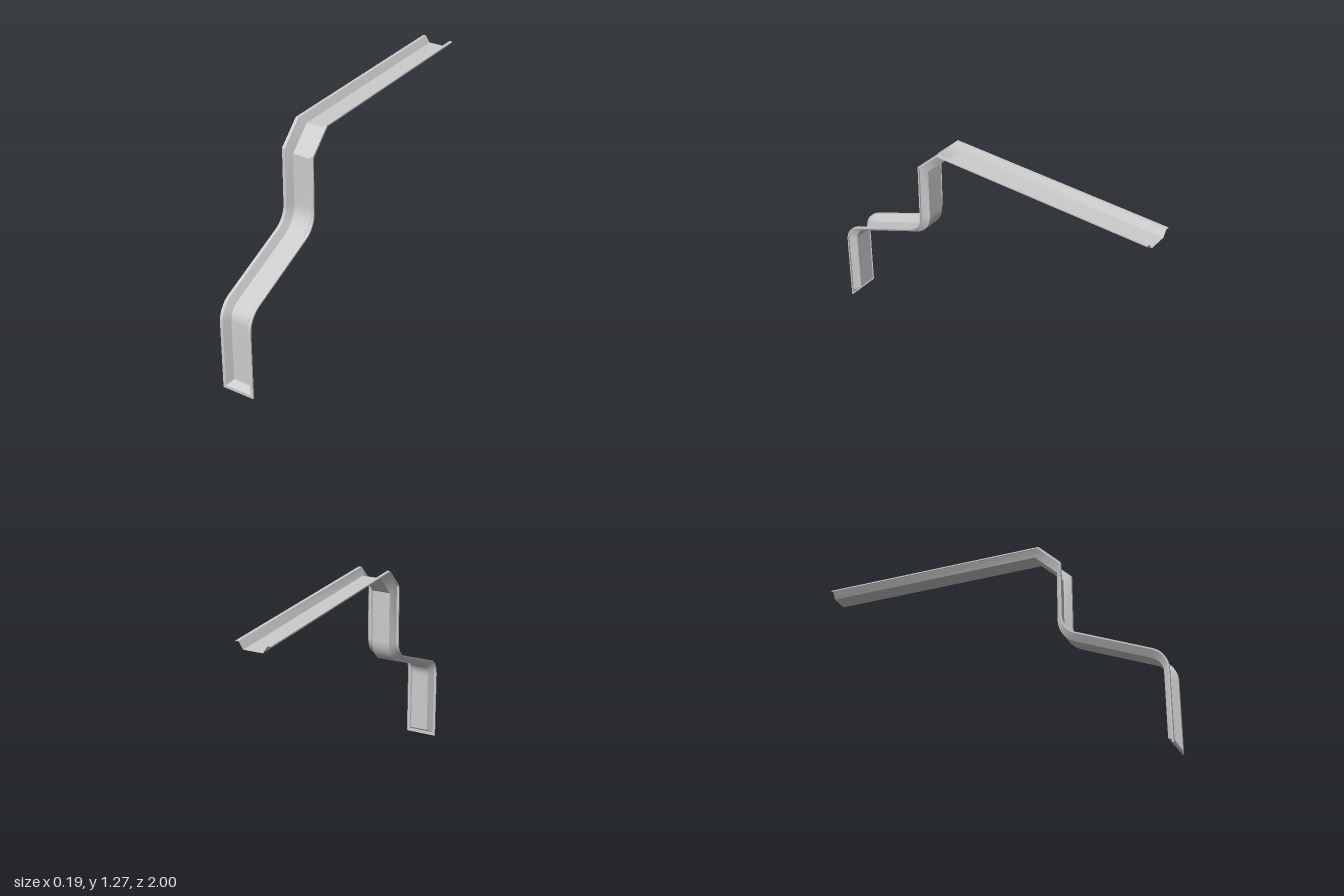
import * as THREE from 'three';
import { toCreasedNormals } from 'three/addons/utils/BufferGeometryUtils.js';

const RIM = 0.095, MOUTH = 0.078, FLOOR = 0.053; // half widths
const DEPTH = 0.039, LIP = 0.008;

// Channel cross-section as [x, depth below the rim], from -x to +x
const half = [[RIM, LIP], [RIM, 0], [MOUTH, 0], [FLOOR, DEPTH]];
const section = [...half.map(([x, d]) => [-x, d]), ...half.slice().reverse()];

// Stations along the run: z, y of the rim, direction of depth (dz, dy),
// and limits that close the section at the lower end
function stations() {
  const rows = [];
  const add = (z, y, dz, dy, extra = {}) => rows.push({ z, y, dz, dy, minX: 0, maxD: 1, ...extra });

  // closed lower end: lip, rim, top of end wall, floor edge
  add(1, 0, -1, 0, { minX: RIM, fixD: LIP });
  add(1, 0, -1, 0, { minX: RIM, maxD: 0, keepLip: true });
  add(1, 0.018, -1, 0, { minX: MOUTH, maxD: 0, keepLip: true });
  add(1, 0.043, -1, 0);

  // rounded bends, swept between the vertical and the slope
  const slope = Math.atan2(0.2395, 0.57);
  const turn = Math.PI / 2 - slope, steps = 10;
  const r1 = 0.135, r2 = 0.12;
  const t1 = r1 * Math.tan(turn / 2), t2 = r2 * Math.tan(turn / 2);
  for (let i = 0; i <= steps; i++) {
    const a = (turn * i) / steps, c = Math.cos(a), s = Math.sin(a);
    add(1 - r1 + r1 * c, 0.496 - t1 + r1 * s, -c, -s);
  }
  for (let i = steps; i >= 0; i--) {
    const a = (turn * i) / steps, c = Math.cos(a), s = Math.sin(a);
    add(0.43 + r2 - r2 * c, 0.7355 + t2 - r2 * s, -c, -s);
  }

  // sharp chamfered corner and long straight run, open at the back
  add(0.43, 1.144, -0.95, -0.95);
  add(0.303, 1.267, -0.95, -0.95);
  add(-1, 1.267, 0, -1);
  return rows;
}

function sectionPoint(row, i) {
  const [x, d] = section[i];
  const isLip = i === 0 || i === section.length - 1;
  let depth = row.keepLip && isLip ? d : Math.min(d, row.maxD);
  if (row.fixD !== undefined) depth = row.fixD;
  const px = Math.sign(x) * Math.max(Math.abs(x), row.minX);
  return new THREE.Vector3(px, row.y + row.dy * depth, row.z + row.dz * depth);
}

// Sheet between two neighbouring section points, along the whole run
function strip(rows, i) {
  const pos = [];
  const tri = (a, b, c) => {
    const area = b.clone().sub(a).cross(c.clone().sub(a)).length();
    if (area > 1e-9) for (const p of [a, b, c]) pos.push(p.x, p.y, p.z);
  };
  for (let r = 0; r < rows.length - 1; r++) {
    const a = sectionPoint(rows[r], i), b = sectionPoint(rows[r], i + 1);
    const c = sectionPoint(rows[r + 1], i + 1), d = sectionPoint(rows[r + 1], i);
    tri(a, b, c);
    tri(a, c, d);
  }
  const geo = new THREE.BufferGeometry();
  geo.setAttribute('position', new THREE.Float32BufferAttribute(pos, 3));
  return toCreasedNormals(geo, 0.45);
}

export function createModel() {
  const group = new THREE.Group();
  group.name = 'bentChannel';
  const material = new THREE.MeshStandardMaterial({ color: 0xcccccc, side: THREE.DoubleSide });
  const names = ['rightLip', 'rightFlange', 'rightWall', 'channelFloor', 'leftWall', 'leftFlange', 'leftLip'];
  const rows = stations();
  names.forEach((name, i) => {
    const mesh = new THREE.Mesh(strip(rows, i), material);
    mesh.name = name;
    group.add(mesh);
  });
  return group;
}
